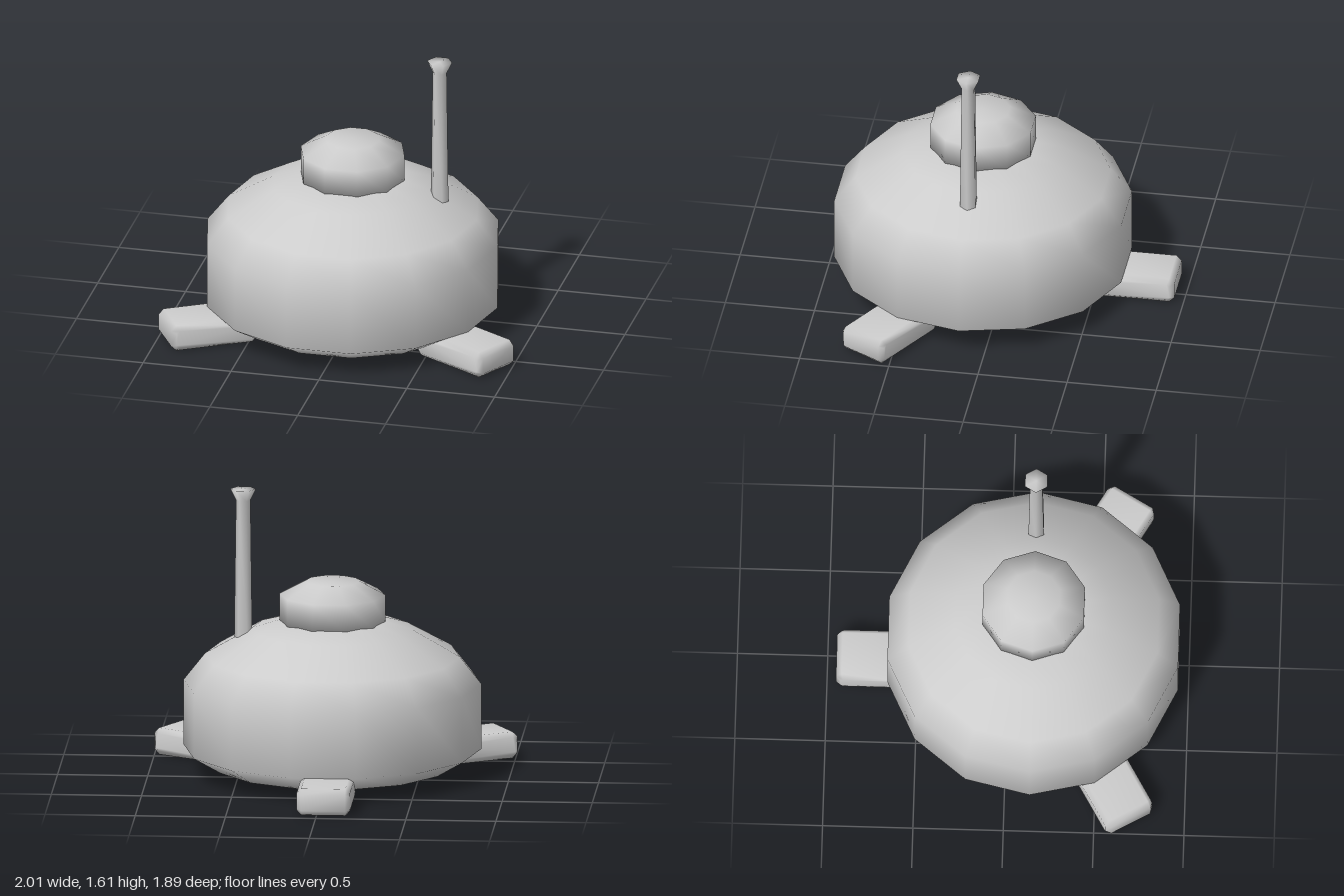
import * as THREE from 'three';
import { mergeVertices } from 'three/addons/utils/BufferGeometryUtils.js';

const CX = -0.015, CZ = 0.14; // shared vertical axis of body and feet

// Weld all vertices so the low-poly form shades smoothly
function smooth(geometry) {
  geometry.deleteAttribute('uv');
  geometry.deleteAttribute('normal');
  const welded = mergeVertices(geometry, 1e-4);
  welded.computeVertexNormals();
  return welded;
}

// Turned part with a corner pointing along +x
function turned(name, profile, sides, x, material) {
  const points = profile.map(([r, y]) => new THREE.Vector2(r, y));
  const mesh = new THREE.Mesh(smooth(new THREE.LatheGeometry(points, sides, Math.PI / 2)), material);
  mesh.name = name;
  mesh.position.set(x, 0, CZ);
  return mesh;
}

// Chamfered foot: side outline (distance from axis, height) extruded across its width
function footGeometry() {
  const outline = [
    [0.62, 0], [1.06, 0], [1.09, 0.03], [1.09, 0.12], [1.06, 0.15],
    [0.73, 0.15], [0.66, 0.125], [0.59, 0.04],
  ];
  const shape = new THREE.Shape(outline.map(([r, y]) => new THREE.Vector2(r, y)));
  const width = 0.295, bevel = 0.025;
  const geometry = new THREE.ExtrudeGeometry(shape, {
    depth: width - 2 * bevel, bevelEnabled: true, bevelThickness: bevel,
    bevelSize: bevel, bevelOffset: -bevel, bevelSegments: 1,
  });
  geometry.translate(0, 0, -width / 2 + bevel - 0.022);
  return smooth(geometry);
}

export function createModel() {
  const group = new THREE.Group();
  group.name = 'domedPod';
  const grey = new THREE.MeshStandardMaterial({ color: 0xcccccc });
  grey.name = 'light grey';

  // Domed body
  group.add(turned('body', [
    [0, 0.055], [0.667, 0.055], [0.825, 0.15], [0.825, 0.52],
    [0.707, 0.67], [0.445, 0.82], [0.28, 0.87], [0, 0.87],
  ], 14, CX, grey));

  // Hatch on top
  group.add(turned('hatch', [
    [0, 0.86], [0.295, 0.86], [0.295, 1.015], [0.152, 1.09], [0, 1.09],
  ], 10, CX, grey));

  // Pipe with a flared tip
  group.add(turned('pipe', [
    [0, 0.76], [0.05, 0.765], [0.04, 1.54], [0.071, 1.605], [0, 1.605],
  ], 6, 0.48, grey));

  // Three feet around the axis, the first at the back
  const foot = footGeometry();
  ['backFoot', 'rightFoot', 'leftFoot'].forEach((name, i) => {
    const mesh = new THREE.Mesh(foot, grey);
    mesh.name = name;
    mesh.position.set(CX, 0, CZ);
    mesh.rotation.y = Math.PI / 2 + i * Math.PI * 2 / 3;
    group.add(mesh);
  });

  return group;
}
